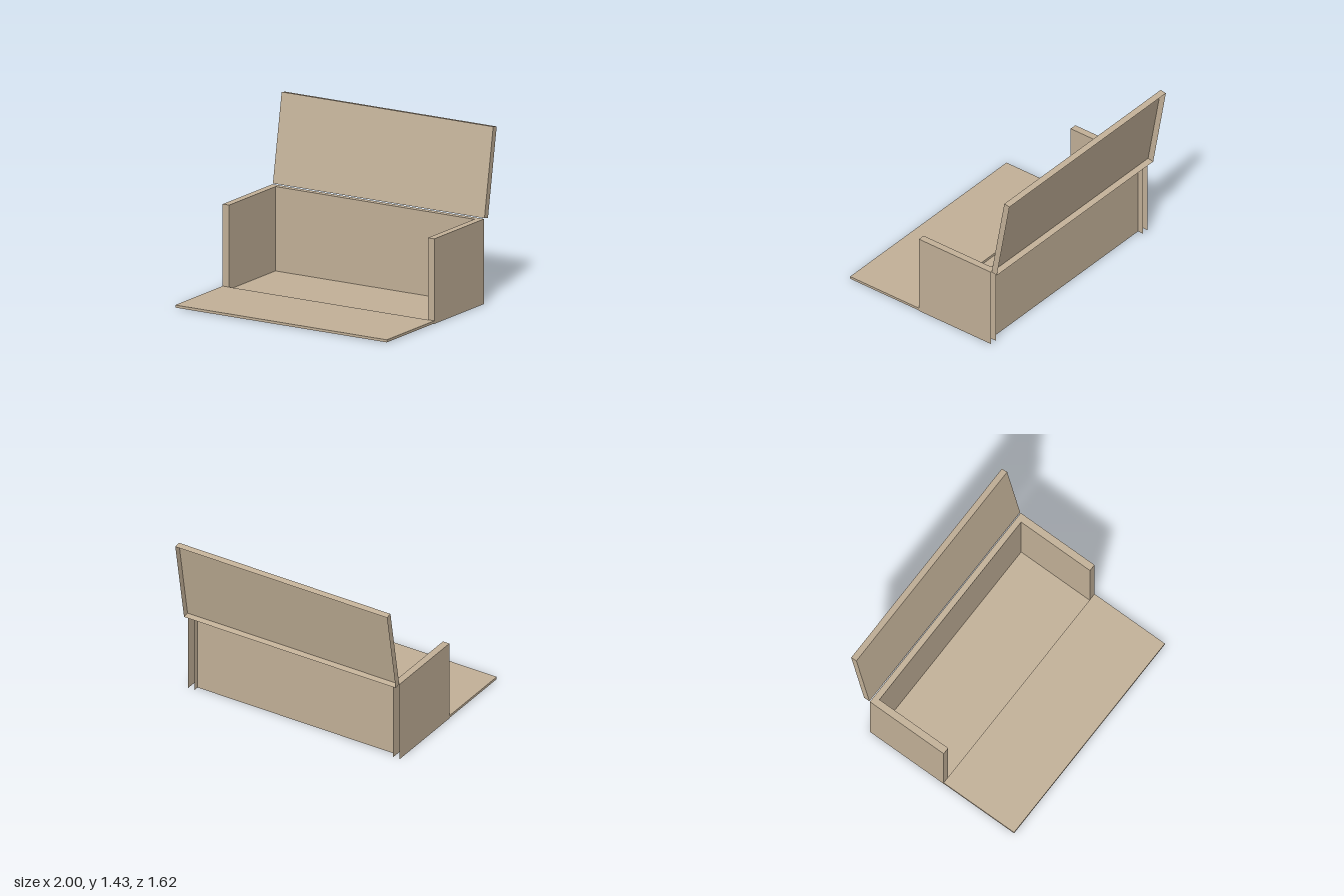
import * as THREE from 'three';

const FACES = ['right', 'left', 'top', 'bottom', 'front', 'back'];

// Box given by its min and max corners, with the named faces left open
function openBox(min, max, open = []) {
  const size = max.map((v, i) => v - min[i]);
  const geo = new THREE.BoxGeometry(...size);
  geo.translate(...max.map((v, i) => (v + min[i]) / 2));
  const index = Array.from(geo.index.array);
  geo.setIndex(index.filter((_, i) => !open.includes(FACES[Math.floor(i / 6)])));
  geo.clearGroups();
  return geo;
}

export function createModel() {
  const model = new THREE.Group();
  model.name = 'openChest';
  const wood = new THREE.MeshStandardMaterial({ color: 0xc4b299, side: THREE.DoubleSide });
  wood.name = 'tan board';

  const add = (name, geometry, parent = model) => {
    const mesh = new THREE.Mesh(geometry, wood);
    mesh.name = name;
    parent.add(mesh);
    return mesh;
  };

  // Side walls, hollow and open underneath and behind
  add('leftWall', openBox([0.94, 0, -0.625], [1, 0.7, 0.11], ['bottom', 'back']));
  add('rightWall', openBox([-1, 0, -0.625], [-0.94, 0.7, 0.11], ['bottom', 'back']));

  // Back wall, open behind
  add('backWall', openBox([-0.94, 0, -0.625], [0.94, 0.7, -0.575], ['bottom', 'back', 'left', 'right']));

  // Floor sheet
  const floor = new THREE.PlaneGeometry(1.88, 0.685);
  floor.rotateX(-Math.PI / 2);
  floor.translate(0, 0.005, -0.2325);
  add('floor', floor);

  // Front panel folded down flat
  add('frontFlap', openBox([-1, 0.004, 0.11], [1, 0.025, 0.81], ['bottom']));

  // Lid leaning back on its hinge line, open behind
  const lid = new THREE.Group();
  lid.name = 'lidHinge';
  lid.position.set(0, 0.705, -0.63);
  lid.rotation.x = THREE.MathUtils.degToRad(-10.1);
  add('lid', openBox([-1, 0, -0.053], [1, 0.736, 0], ['back']), lid);
  model.add(lid);

  return model;
}
